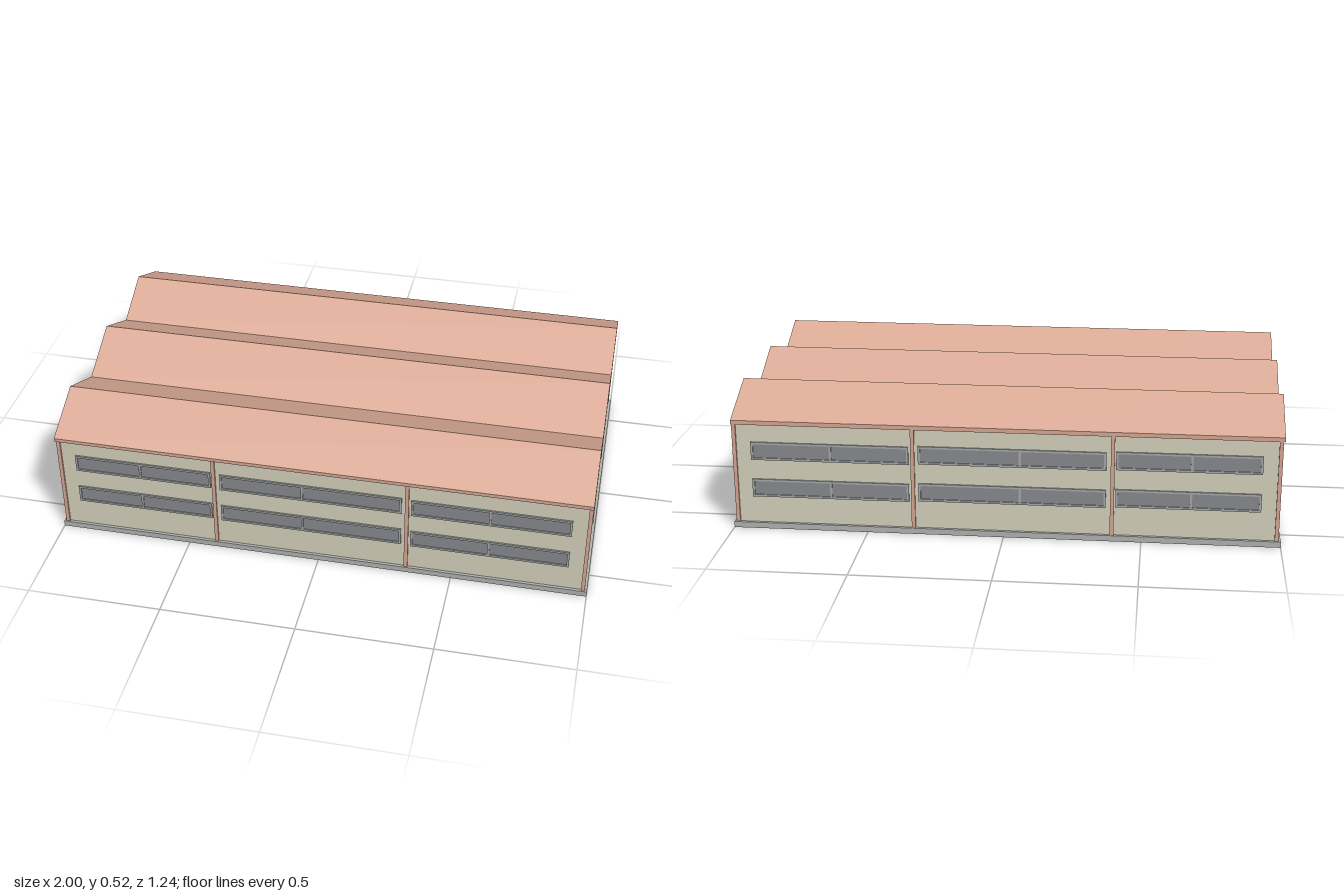
import * as THREE from 'three';

const mat = (color) => new THREE.MeshStandardMaterial({ color });
const wallMat = mat(0xd8d5c0), brick = mat(0xdbaa96), stone = mat(0xb4b6b4);
const frameMat = mat(0xa9adad), glassMat = mat(0x8a8c90), doorMat = mat(0xc9937f);

function box(parent, name, material, [w, h, d], [x, y, z]) {
  const mesh = new THREE.Mesh(new THREE.BoxGeometry(w, h, d), material);
  mesh.name = name;
  mesh.position.set(x, y, z);
  parent.add(mesh);
  return mesh;
}

function rect(Type, x0, y0, x1, y1) {
  const r = new Type();
  r.moveTo(x0, y0).lineTo(x1, y0).lineTo(x1, y1).lineTo(x0, y1).closePath();
  return r;
}

// Flat panel in the xy plane, with rectangular openings, facing +z
function panel(name, material, outer, holes, depth) {
  const shape = rect(THREE.Shape, ...outer);
  holes.forEach((h) => shape.holes.push(rect(THREE.Path, ...h)));
  const mesh = new THREE.Mesh(new THREE.ExtrudeGeometry(shape, { depth, bevelEnabled: false }), material);
  mesh.name = name;
  return mesh;
}

// Two-pane ribbon window: frame plus a glass strip set back inside it
function ribbonWindow(x0, x1, mid, y) {
  const g = new THREE.Group();
  g.name = 'ribbonWindow';
  const h = 0.034, b = 0.008;
  g.add(panel('windowFrame', frameMat, [x0, y - h, x1, y + h], [
    [x0 + b, y - h + b, mid - b / 2, y + h - b],
    [mid + b / 2, y - h + b, x1 - b, y + h - b],
  ], 0.006));
  box(g, 'windowGlass', glassMat, [x1 - x0 - b, 2 * h - b, 0.002], [(x0 + x1) / 2, y, 0.001]);
  return g;
}

// Pair of glazed door leaves, centred on x = 0
function doubleDoor() {
  const g = new THREE.Group();
  g.name = 'doubleDoor';
  for (const s of [-1, 1]) {
    const c = s * 0.063;
    g.add(panel('doorLeaf', doorMat, [c - 0.06, 0.02, c + 0.06, 0.365],
      [[c - 0.036, 0.16, c + 0.036, 0.335]], 0.006));
    box(g, 'doorGlass', glassMat, [0.076, 0.18, 0.002], [c, 0.2475, 0.001]);
  }
  box(g, 'doorGap', frameMat, [0.006, 0.345, 0.003], [0, 0.1925, 0.0015]);
  return g;
}

export function createModel() {
  const model = new THREE.Group();
  model.name = 'factoryHall';

  // Plinth and main block
  box(model, 'plinth', stone, [2, 0.022, 1.24], [0, 0.011, 0]);
  box(model, 'walls', wallMat, [1.974, 0.385, 1.218], [0, 0.2125, 0]);

  // Triple gabled roof, profile in z and y, run along the length
  const profile = [[-0.62, 0.402], [0.62, 0.402], [0.62, 0.416], [0.415, 0.513], [0.207, 0.417],
    [-0.005, 0.52], [-0.218, 0.417], [-0.411, 0.513], [-0.62, 0.418]];
  const roofShape = new THREE.Shape(profile.map(([z, y]) => new THREE.Vector2(-z, y)));
  const roof = new THREE.Mesh(
    new THREE.ExtrudeGeometry(roofShape, { depth: 1.99, bevelEnabled: false }), brick);
  roof.name = 'gabledRoof';
  roof.rotation.y = Math.PI / 2;
  roof.position.x = -0.997;
  model.add(roof);

  // Long sides: windows and slim pilasters
  const bays = [[-0.925, -0.405, -0.675, 0.308], [-0.37, 0.31, -0.06, 0.304], [0.345, 0.925, 0.632, 0.3]];
  for (const side of [1, -1]) {
    const facade = new THREE.Group();
    facade.name = side > 0 ? 'frontWindows' : 'backWindows';
    for (const [x0, x1, mid, y] of bays) {
      for (const row of [y, y - 0.143]) {
        facade.add(side > 0 ? ribbonWindow(x0, x1, mid, row) : ribbonWindow(-x1, -x0, -mid, row));
      }
    }
    facade.position.z = side * 0.609;
    if (side < 0) facade.rotation.y = Math.PI;
    model.add(facade);
    for (const x of [-0.393, 0.33]) {
      box(model, 'pilaster', brick, [0.014, 0.382, 0.01], [x, 0.212, side * 0.611]);
    }
    for (const x of [-0.985, 0.985]) {
      box(model, 'cornerPost', brick, [0.014, 0.382, 0.018], [x, 0.212, side * 0.607]);
    }
  }

  // Pilasters on the plain end, and wall piers on the door end
  for (const z of [0.208, -0.213]) {
    box(model, 'endPilaster', brick, [0.012, 0.382, 0.028], [0.986, 0.212, z]);
    box(model, 'wallPier', wallMat, [0.012, 0.382, 0.06], [-0.987, 0.212, z]);
  }

  // Three double doors on the other end
  for (const z of [-0.415, -0.01, 0.405]) {
    const door = doubleDoor();
    door.rotation.y = -Math.PI / 2;
    door.position.set(-0.987, 0, z);
    model.add(door);
  }
  return model;
}
